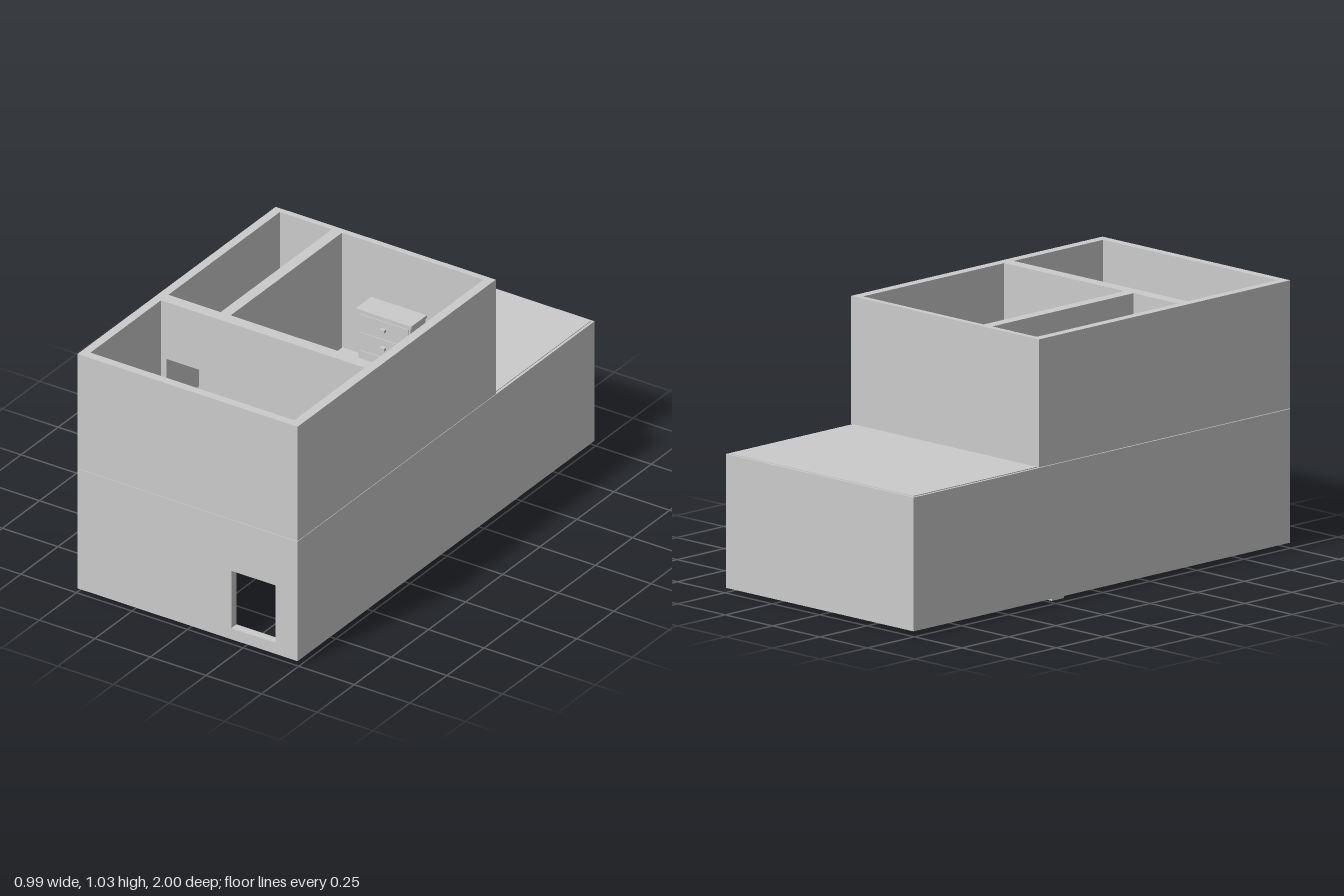
import * as THREE from 'three';

const grey = new THREE.MeshStandardMaterial({ color: 0xcccccc, flatShading: true });
const smooth = new THREE.MeshStandardMaterial({ color: 0xcccccc, side: THREE.DoubleSide });

function add(parent, name, geometry, material = grey) {
  const mesh = new THREE.Mesh(geometry, material);
  mesh.name = name;
  parent.add(mesh);
  return mesh;
}

// Box given by its two opposite corners
function box(parent, name, x0, x1, y0, y1, z0, z1) {
  const m = add(parent, name, new THREE.BoxGeometry(x1 - x0, y1 - y0, z1 - z0));
  m.position.set((x0 + x1) / 2, (y0 + y1) / 2, (z0 + z1) / 2);
  return m;
}

function rect(Type, x0, x1, y0, y1) {
  const p = new Type();
  p.moveTo(x0, y0).lineTo(x1, y0).lineTo(x1, y1).lineTo(x0, y1).closePath();
  return p;
}

function extrude(shape, depth) {
  return new THREE.ExtrudeGeometry(shape, { depth, bevelEnabled: false, curveSegments: 10 });
}

// Floor plan (x, z) raised from y0 to y1
function plan(parent, name, shape, y0, y1, material) {
  const m = add(parent, name, extrude(shape, y1 - y0).rotateX(Math.PI / 2), material);
  m.position.y = y1;
  return m;
}

// Upright wall facing z with one opening [x0, x1, y0, y1]
function wallWithOpening(parent, name, x0, x1, y0, y1, z0, z1, opening) {
  const shape = rect(THREE.Shape, x0, x1, y0, y1);
  shape.holes.push(rect(THREE.Path, ...opening));
  add(parent, name, extrude(shape, z1 - z0)).position.z = z0;
}

function legs(parent, name, xs, zs, y0, y1, t) {
  for (const x of xs) for (const z of zs)
    box(parent, name, x - t / 2, x + t / 2, y0, y1, z - t / 2, z + t / 2);
}

function group(parent, name) {
  const g = new THREE.Group();
  g.name = name;
  parent.add(g);
  return g;
}

function buildGroundFloor(root) {
  const g = group(root, 'groundFloor');
  // Back and side walls as a U, front wall with the window
  const u = new THREE.Shape([[-0.495, 0.965], [-0.495, -1], [0.495, -1], [0.495, 0.965],
    [0.46, 0.965], [0.46, -0.965], [-0.46, -0.965], [-0.46, 0.965]].map(p => new THREE.Vector2(...p)));
  plan(g, 'groundWalls', u, 0.02, 0.535);
  wallWithOpening(g, 'windowWall', -0.495, 0.495, 0.02, 0.535, 0.965, 1, [0.197, 0.395, 0.068, 0.315]);
  box(g, 'roomDivider', -0.46, 0.46, 0, 0.5, -0.23, -0.165);
  box(g, 'bathroomPartition', -0.18, -0.12, 0.02, 0.5, -0.44, -0.315);
  // Ceiling slab, open over the stairs
  const slab = rect(THREE.Shape, -0.46, 0.46, -0.965, 0.965);
  slab.holes.push(rect(THREE.Path, -0.459, -0.27, -0.165, 0.39));
  plan(g, 'ceilingSlab', slab, 0.5, 0.535);
  box(g, 'backRoof', -0.485, 0.485, 0.53, 0.538, -0.99, -0.335);

  // Stairs climbing toward the front from a low landing
  const edges = [0.065, 0.125, 0.185, 0.24, 0.3, 0.39];
  const profile = [[-0.165, 0.09], [-0.165, 0.11], [0.065, 0.11]];
  for (let i = 0; i < 5; i++) {
    const y = 0.11 + (i + 1) * 0.085;
    profile.push([edges[i], y], [edges[i + 1], y]);
  }
  profile.push([0.39, 0.48], [0.33, 0.48], [0.065, 0.09]);
  const stairs = new THREE.Shape(profile.map(p => new THREE.Vector2(...p)));
  add(g, 'stairs', extrude(stairs, 0.19).rotateY(-Math.PI / 2)).position.x = -0.27;
}

function buildUpperFloor(root) {
  const g = group(root, 'upperFloor');
  const ring = rect(THREE.Shape, -0.495, 0.495, -0.335, 1);
  ring.holes.push(rect(THREE.Path, -0.46, 0.457, -0.31, 0.965));
  plan(g, 'upperWalls', ring, 0.537, 1.03);
  wallWithOpening(g, 'doorwayWall', -0.46, 0.457, 0.535, 1.03, 0.44, 0.49, [-0.435, -0.288, 0.54, 0.785]);
  box(g, 'bedroomWall', -0.225, -0.18, 0.535, 1.03, -0.31, 0.44);
}

// Chest of drawers, back at z = 0, front toward +z
function buildDresser(root, x, z, turn) {
  const g = group(root, 'dresser');
  box(g, 'dresserBody', -0.118, 0.118, 0, 0.25, 0, 0.098);
  box(g, 'dresserTop', -0.125, 0.125, 0.25, 0.262, 0, 0.105);
  for (let i = 0; i < 3; i++) {
    const y = 0.015 + i * 0.078;
    box(g, 'drawer', -0.108, 0.108, y, y + 0.07, 0.09, 0.102);
    box(g, 'drawerKnob', -0.01, 0.01, y + 0.03, y + 0.042, 0.1, 0.115);
  }
  g.position.set(x, 0.537, z);
  g.rotation.y = turn;
}

function buildDoubleBed(root) {
  const g = group(root, 'doubleBed');
  legs(g, 'bedPost', [0.205, 0.41], [-0.09, 0.34], 0.535, 0.64, 0.02);
  box(g, 'headboard', 0.2, 0.415, 0.57, 0.665, 0.333, 0.348);
  box(g, 'footboard', 0.2, 0.415, 0.56, 0.625, -0.097, -0.083);
  box(g, 'mattress', 0.208, 0.405, 0.565, 0.605, -0.083, 0.333);
  box(g, 'blanketFold', 0.204, 0.41, 0.57, 0.613, 0.18, 0.25);
  for (const x of [0.27, 0.35]) {
    const pillow = add(g, 'pillow', new THREE.SphereGeometry(1, 12, 8), smooth);
    pillow.scale.set(0.03, 0.015, 0.025);
    pillow.position.set(x, 0.612, 0.287);
  }
}

function buildLivingFurniture(root) {
  // Bunk bed
  const bunk = group(root, 'bunkBed');
  legs(bunk, 'bunkPost', [-0.41, -0.17], [0.39, 0.9], 0.05, 0.37, 0.02);
  for (const y of [0.11, 0.32]) {
    box(bunk, 'bunkBase', -0.405, -0.175, y, y + 0.025, 0.395, 0.895);
    for (const x of [-0.41, -0.17]) box(bunk, 'sideRail', x - 0.008, x + 0.008, y - 0.005, y + 0.03, 0.39, 0.9);
    for (const z of [0.39, 0.9]) box(bunk, 'endRail', -0.41, -0.17, y - 0.005, y + 0.03, z - 0.008, z + 0.008);
  }
  // Table along the side wall
  const table = group(root, 'table');
  box(table, 'tableTop', 0.27, 0.455, 0.22, 0.235, 0.1, 0.6);
  legs(table, 'tableLeg', [0.279, 0.446], [0.11, 0.59], 0.05, 0.22, 0.017);
  // Chair
  const chair = group(root, 'chair');
  legs(chair, 'chairLeg', [-0.07, 0.08], [0.83, 0.92], 0.05, 0.13, 0.016);
  box(chair, 'chairSeat', -0.08, 0.09, 0.13, 0.145, 0.82, 0.93);
  box(chair, 'chairBack', -0.08, 0.09, 0.145, 0.25, 0.918, 0.93);
}

function buildBackRoom(root) {
  // Kitchen units against the divider
  const kitchen = group(root, 'kitchen');
  box(kitchen, 'cabinet', -0.03, 0.1, 0.05, 0.34, -0.33, -0.23);
  box(kitchen, 'counter', 0.1, 0.32, 0.2, 0.22, -0.4, -0.23);
  // Bathtub: rounded plan with a hollow
  const tub = new THREE.Shape();
  tub.moveTo(0.44, -0.955).lineTo(0.44, -0.82).lineTo(-0.13, -0.82);
  tub.quadraticCurveTo(-0.2, -0.82, -0.2, -0.888).quadraticCurveTo(-0.2, -0.955, -0.13, -0.955).closePath();
  tub.holes.push(rect(THREE.Path, -0.13, 0.41, -0.935, -0.84));
  plan(root, 'bathtub', tub, 0.06, 0.17);
  // Toilet
  const toilet = group(root, 'toilet');
  const bowl = add(toilet, 'toiletBowl', new THREE.CylinderGeometry(0.06, 0.04, 0.1, 20), smooth);
  bowl.scale.x = 1.25;
  bowl.position.set(-0.345, 0.12, -0.6);
  box(toilet, 'toiletTank', -0.455, -0.41, 0.13, 0.26, -0.66, -0.54);
}

export function createModel() {
  const root = new THREE.Group();
  root.name = 'house';
  buildGroundFloor(root);
  buildUpperFloor(root);
  buildDresser(root, 0.08, -0.305, 0);
  buildDresser(root, 0.455, 0.83, -Math.PI / 2);
  buildDoubleBed(root);
  buildLivingFurniture(root);
  buildBackRoom(root);
  return root;
}
